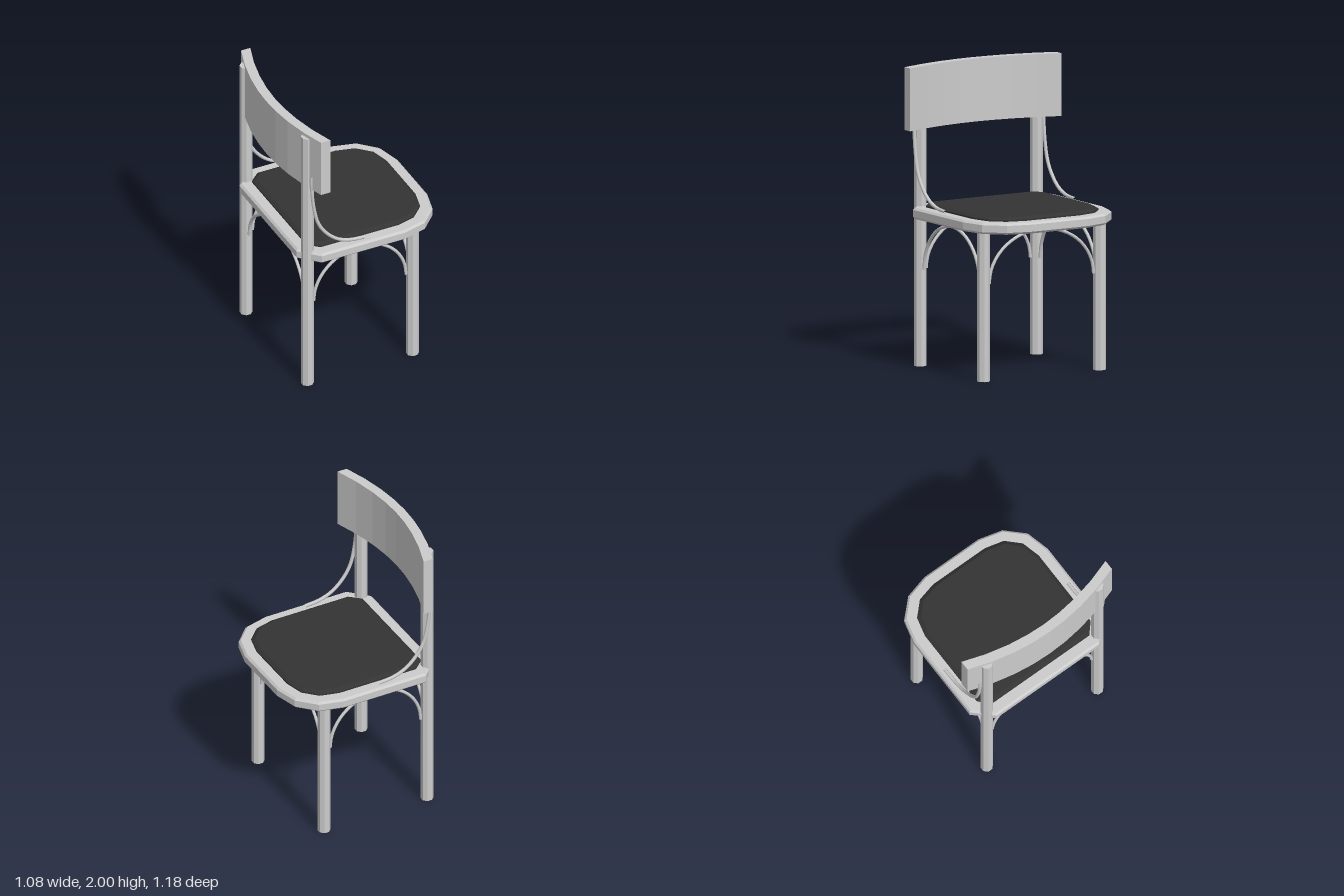
import * as THREE from 'three';

const wood = new THREE.MeshStandardMaterial({ color: 0xcccccc, flatShading: true });
const bentWood = new THREE.MeshStandardMaterial({ color: 0xcccccc });
const padding = new THREE.MeshStandardMaterial({ color: 0x333333, flatShading: true });

const LEG_Z = 0.452, FRONT_X = 0.31, BACK_X = -0.46;

function add(parent, name, geometry, material) {
  const mesh = new THREE.Mesh(geometry, material);
  mesh.name = name;
  parent.add(mesh);
  return mesh;
}

// Horizontal slab from half an outline of [x, z] points (mirrored in z), edges bevelled inward
function slab(half, y0, y1, bevel, bevelY) {
  const mirrored = half.map(([x, z]) => [x, -z]).reverse();
  const shape = new THREE.Shape([...half, ...mirrored].map(([x, z]) => new THREE.Vector2(x, z)));
  const geometry = new THREE.ExtrudeGeometry(shape, {
    depth: y1 - y0 - 2 * bevelY, bevelEnabled: bevel > 0, bevelSegments: 1,
    bevelSize: bevel, bevelOffset: -bevel, bevelThickness: bevelY,
  });
  return geometry.rotateX(-Math.PI / 2).translate(0, y0 + bevelY, 0);
}

// Eight-sided post standing on the floor
function leg(parent, name, x, z, height) {
  const geometry = new THREE.CylinderGeometry(0.043, 0.043, height, 8).rotateY(Math.PI / 8);
  add(parent, name, geometry, wood).position.set(x, height / 2, z);
}

// Bent rod along a list of points
function rod(points, radius, segments) {
  return new THREE.TubeGeometry(new THREE.CatmullRomCurve3(points), segments, radius, 8);
}

// Half-ellipse brace lying in the xy plane, centred on x = 0
function arch(halfWidth) {
  const points = [];
  for (let i = 0; i <= 14; i++) {
    const a = Math.PI * (1 - i / 14);
    points.push(new THREE.Vector3(halfWidth * Math.cos(a), 0.645 + 0.33 * Math.sin(a), 0));
  }
  return rod(points, 0.011, 28);
}

export function createModel() {
  const model = new THREE.Group();
  model.name = 'chair';

  const base = new THREE.Group();
  base.name = 'base';
  base.position.z = -0.004;
  model.add(base);

  // Seat frame and cushion
  add(base, 'seatFrame', slab([
    [-0.525, -0.42], [-0.4, -0.547], [0.21, -0.547], [0.375, -0.505], [0.492, -0.385], [0.535, -0.22],
  ], 0.99, 1.065, 0.014, 0.014), wood);
  add(base, 'cushion', slab([
    [-0.443, -0.4], [-0.37, -0.466], [0.2, -0.466], [0.33, -0.433], [0.42, -0.343], [0.453, -0.21],
  ], 1.04, 1.09, 0.025, 0.015), padding);

  for (const side of [-1, 1]) {
    // Legs; the rear ones run on up behind the backrest
    leg(base, 'frontLeg', FRONT_X, side * LEG_Z, 0.995);
    leg(base, 'backLeg', BACK_X, side * LEG_Z, 1.975);

    // Side brace under the seat
    const brace = add(base, 'sideBrace', arch(0.338), bentWood);
    brace.position.set((FRONT_X + BACK_X) / 2, 0, side * LEG_Z);

    // Curved stay from the rear post down to the seat
    const stay = [[-0.457, 1.68], [-0.452, 1.56], [-0.437, 1.42], [-0.405, 1.29], [-0.35, 1.2],
      [-0.27, 1.127], [-0.18, 1.09], [-0.07, 1.078]];
    add(base, 'backStay',
      rod(stay.map(([x, y]) => new THREE.Vector3(x, y, side * 0.504)), 0.012, 30), bentWood);
  }

  // Front and rear braces under the seat
  for (const [name, x] of [['frontBrace', FRONT_X], ['rearBrace', BACK_X]]) {
    const brace = add(base, name, arch(0.406), bentWood);
    brace.rotation.y = Math.PI / 2;
    brace.position.x = x;
  }

  // Curved backrest panel
  const bend = [0, 0.13, 0.27, 0.43, 0.59].map((z) => [0.11 * (z / 0.59) ** 2, z]);
  const outer = bend.map(([s, z]) => [s - 0.54, -z]);
  const inner = bend.map(([s, z]) => [s - 0.475 + 0.005 * z, -z]).reverse();
  add(model, 'backrest', slab([...outer, ...inner], 1.582, 2, 0, 0), wood);

  // The mirrored half-outline pairs up at z = 0, so the panel is rebuilt as one closed loop
  const flip = (list) => list.map(([x, z]) => [x, -z]).reverse();
  const loop = [...flip(outer).slice(0, -1), ...outer, ...inner.slice(0, -1), ...flip(inner)];
  const panel = new THREE.Shape(loop.map(([x, z]) => new THREE.Vector2(x, z)));
  const backrest = model.getObjectByName('backrest');
  backrest.geometry = new THREE.ExtrudeGeometry(panel, { depth: 0.418, bevelEnabled: false })
    .rotateX(-Math.PI / 2).translate(0, 1.582, 0);

  return model;
}
